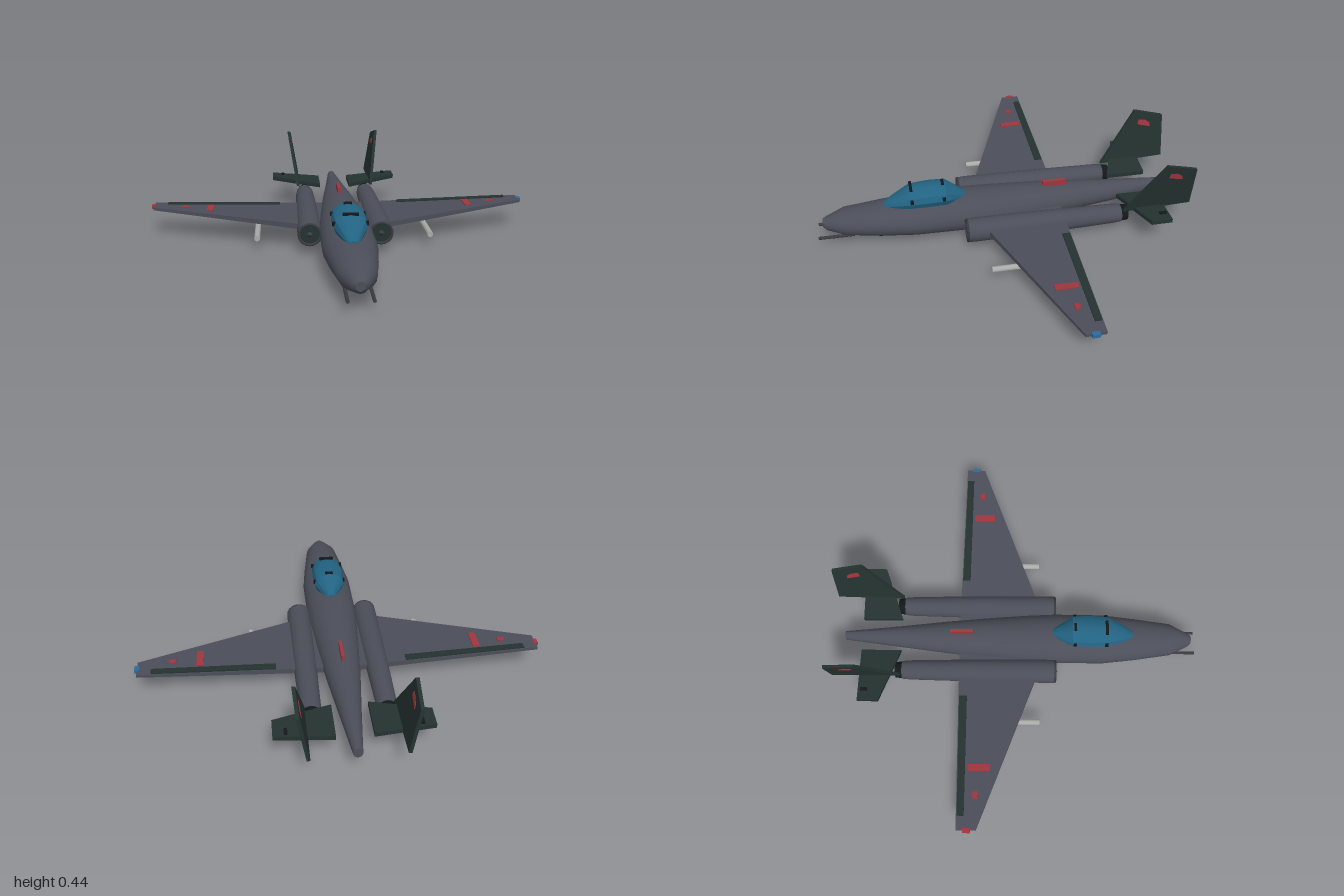
import * as THREE from 'three';
import { toCreasedNormals } from 'three/addons/utils/BufferGeometryUtils.js';

const material = (name, color, side = THREE.FrontSide) => {
  const m = new THREE.MeshStandardMaterial({ color, side });
  m.name = name;
  return m;
};

export function createModel() {
  const grey = material('airframe grey', 0x4b4e59);
  const green = material('dark green', 0x24322f);
  const black = material('black', 0x14181a);
  const gunmetal = material('gunmetal', 0x3a3c42);
  const glass = material('canopy blue', 0x226382);
  const red = material('marking red', 0xa0353d);
  const blue = material('light blue', 0x2a6c9c);
  const pale = material('pale metal', 0xa9aba8);

  const plane = new THREE.Group();
  plane.name = 'aircraft';
  const add = (name, geometry, mat, x = 0, y = 0, z = 0) => {
    const mesh = new THREE.Mesh(geometry, mat);
    mesh.name = name;
    mesh.position.set(x, y, z);
    plane.add(mesh);
    return mesh;
  };

  // Closed body through elliptical sections [z, half width, bottom, top], nose to tail
  function loft(sections, n = 16, crease = 0.5) {
    const pos = [], idx = [];
    for (const [z, w, lo, hi] of sections) {
      for (let i = 0; i < n; i++) {
        const a = (i / n) * Math.PI * 2;
        pos.push(w * Math.cos(a), (lo + hi) / 2 + ((hi - lo) / 2) * Math.sin(a), z);
      }
    }
    const last = sections.length - 1;
    for (let j = 0; j < last; j++) {
      for (let i = 0; i < n; i++) {
        const a = j * n + i, b = j * n + ((i + 1) % n);
        idx.push(a, a + n, b, b, a + n, b + n);
      }
    }
    for (let i = 1; i < n - 1; i++) {
      idx.push(0, i, i + 1, last * n, last * n + i + 1, last * n + i);
    }
    const g = new THREE.BufferGeometry();
    g.setAttribute('position', new THREE.Float32BufferAttribute(pos, 3));
    g.setIndex(idx);
    return toCreasedNormals(g, crease);
  }

  // Flat outline extruded one unit, then every vertex placed by a rule
  function prism(points, place) {
    const shape = new THREE.Shape(points.map(([a, b]) => new THREE.Vector2(a, b)));
    const g = new THREE.ExtrudeGeometry(shape, { depth: 1, bevelEnabled: false });
    const p = g.attributes.position;
    for (let i = 0; i < p.count; i++) p.setXYZ(i, ...place(p.getX(i), p.getY(i), p.getZ(i) - 0.5));
    g.computeVertexNormals();
    return g;
  }
  // Horizontal slab from [x, z] points; height and thickness follow the span
  const slab = (side, points, midY, thick) =>
    prism(points.map(([x, z]) => [x * side, -z]),
      (a, b, c) => [a, midY(Math.abs(a)) + c * thick(Math.abs(a)), -b]);
  // Canted upright slab from [z, y] points
  const finX = (y) => 0.215 + (y - 0.16) * 0.165;
  const upright = (side, points, thick) =>
    prism(points.map(([z, y]) => [-z, y]), (a, b, c) => [side * finX(b) + c * thick, b, -a]);

  // Fuselage
  add('fuselage', loft([
    [0.91, 0.02, 0.095, 0.14], [0.895, 0.035, 0.08, 0.147], [0.8, 0.083, 0.05, 0.182],
    [0.62, 0.11, 0.03, 0.195], [0.45, 0.13, 0.02, 0.205], [0.2, 0.13, 0.012, 0.217],
    [0.05, 0.122, 0.012, 0.215], [-0.12, 0.108, 0.022, 0.21], [-0.35, 0.085, 0.045, 0.198],
    [-0.6, 0.055, 0.07, 0.182], [-0.89, 0.022, 0.112, 0.165],
  ], 20), grey);

  // Canopy with the visible bits of its frame hoops
  add('canopy', loft([
    [0.597, 0.02, 0.17, 0.205], [0.56, 0.04, 0.17, 0.232], [0.465, 0.079, 0.17, 0.285],
    [0.37, 0.084, 0.17, 0.294], [0.285, 0.079, 0.17, 0.293], [0.22, 0.04, 0.17, 0.25],
    [0.187, 0.02, 0.17, 0.225],
  ], 12), glass);
  for (const [z, w, y] of [[0.458, 0.075, 0.287], [0.298, 0.04, 0.293]]) {
    add('canopyFrameTop', new THREE.BoxGeometry(w, 0.012, 0.014), black, 0, y, z);
    for (const s of [-1, 1]) {
      add('canopyFrameSide', new THREE.BoxGeometry(0.014, 0.018, 0.016), black, s * 0.077, 0.243, z);
    }
  }

  // Chin sensor and dorsal blade
  add('chinSensor', new THREE.SphereGeometry(1, 12, 8).scale(0.035, 0.025, 0.05), black, 0, 0.026, 0.62);
  add('dorsalBlade', new THREE.BoxGeometry(0.016, 0.05, 0.12), red, 0, 0.205, -0.28);

  const wingY = (x) => 0.112 + 0.035 * x;
  const wingT = (x) => 0.031 - 0.016 * x;
  const wingTop = (x) => wingY(x) + wingT(x) / 2 + 0.002;
  const tailY = (x) => 0.141 + 0.09 * x;
  const thin = () => 0.006;

  for (const s of [-1, 1]) {
    // Nose guns
    add('noseGun', new THREE.CylinderGeometry(0.008, 0.008, 0.18, 8).rotateX(Math.PI / 2),
      gunmetal, s * 0.055, 0.065, 0.848);

    // Engine nacelle, intake and nozzle
    add('nacelle', loft([
      [0.195, 0.06, 0.05, 0.168], [0.15, 0.061, 0.049, 0.17], [-0.2, 0.058, 0.053, 0.167],
      [-0.55, 0.05, 0.062, 0.16], [-0.59, 0.046, 0.066, 0.156],
    ]), grey, s * 0.177);
    add('intakeLip', new THREE.TorusGeometry(0.053, 0.007, 6, 20), gunmetal, s * 0.177, 0.109, 0.2);
    add('intakeFace', new THREE.CircleGeometry(0.055, 20), green, s * 0.177, 0.109, 0.199);
    add('intakeHub', new THREE.ConeGeometry(0.014, 0.015, 12).rotateX(Math.PI / 2),
      gunmetal, s * 0.177, 0.109, 0.206);
    add('nozzle', new THREE.CylinderGeometry(0.044, 0.04, 0.045, 16).rotateX(Math.PI / 2),
      black, s * 0.177, 0.111, -0.602);

    // Wing, flap and markings
    add('wing', slab(s, [[0.05, 0.165], [0.988, -0.187], [0.988, -0.283], [0.05, -0.297]], wingY, wingT), grey);
    add('flap', slab(s, [[0.32, -0.25], [0.92, -0.246], [0.92, -0.28], [0.32, -0.29]], wingTop, thin), green);
    add('wingStripe', slab(s, [[0.67, -0.125], [0.705, -0.125], [0.705, -0.235], [0.67, -0.235]],
      wingTop, thin), red);
    add('wingBadge', slab(s, [[0.8, -0.183], [0.842, -0.183], [0.836, -0.205], [0.82, -0.212], [0.806, -0.205]],
      wingTop, thin), red);
    add('wingTipLight', new THREE.BoxGeometry(0.022, 0.018, 0.036), s > 0 ? blue : red,
      s * 0.989, 0.147, -0.233);

    // Underwing rod
    add('underwingRod', new THREE.CylinderGeometry(0.015, 0.015, 0.27, 12).rotateX(Math.PI / 2),
      pale, s * 0.437, 0.069, -0.015);

    // Tail surfaces
    add('tailplane', slab(s, [[0.085, -0.595], [0.36, -0.695], [0.36, -0.8], [0.085, -0.8]],
      tailY, () => 0.022), green);
    add('tailplaneFitting', new THREE.BoxGeometry(0.016, 0.012, 0.035), black, s * 0.302, 0.181, -0.77);
    add('tailFin', upright(s, [[-0.594, 0.15], [-0.776, 0.44], [-0.932, 0.4], [-0.94, 0.166]], 0.016), green);
    add('finBadge', upright(s, [[-0.795, 0.362], [-0.8, 0.388], [-0.835, 0.385], [-0.862, 0.365],
      [-0.866, 0.343], [-0.83, 0.352]], 0.02), red);
  }
  return plane;
}
